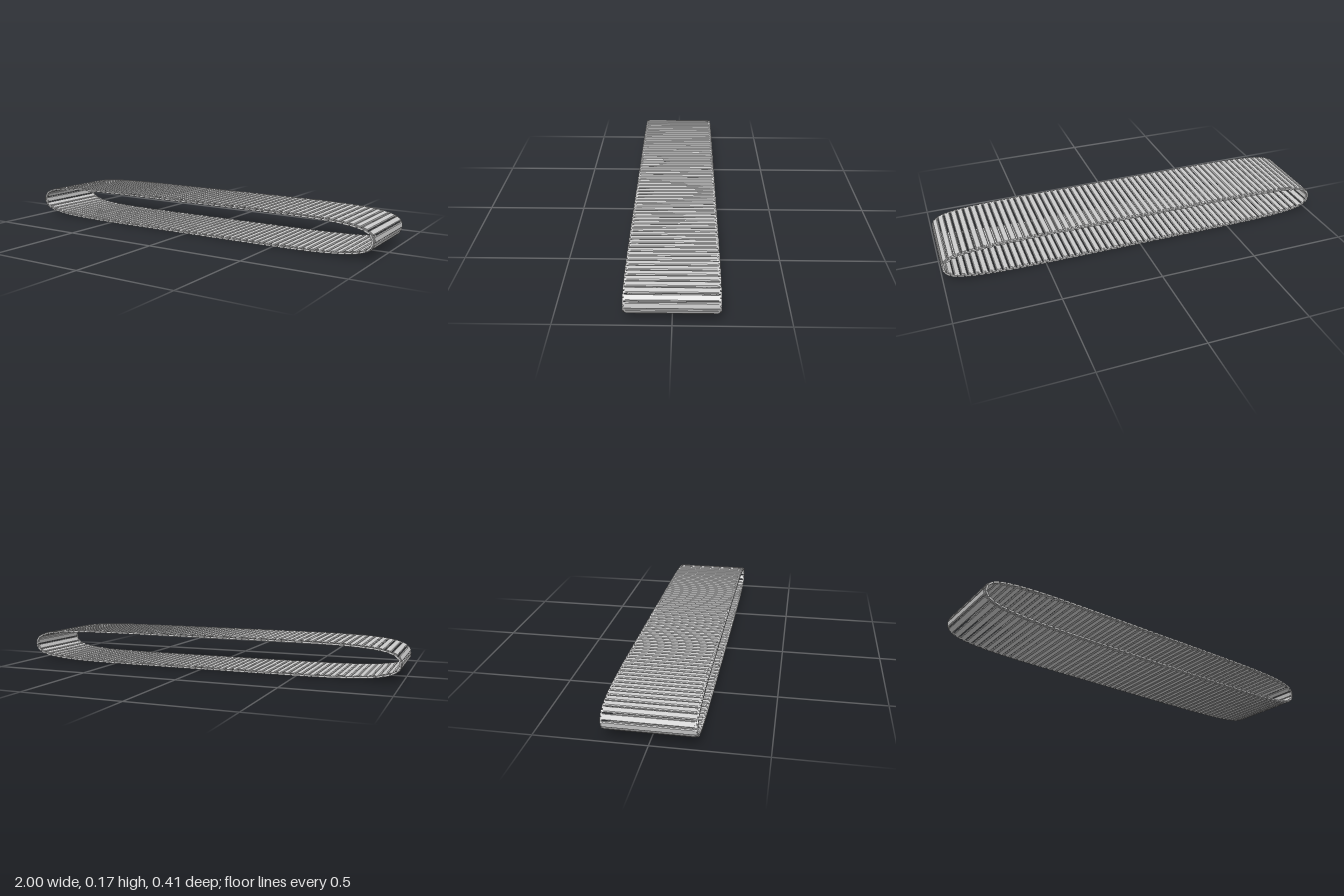
import * as THREE from 'three';
import { mergeGeometries } from 'three/addons/utils/BufferGeometryUtils.js';

const COUNT = 122;                 // slats in the loop
const A = 0.993, B = 0.081, CY = 0.0875; // half length, half height, centre height
const HALF_W = 0.19;

// Evenly spaced joints along a flattened, blunt-ended oval
function loopJoints() {
  const pts = [], dist = [0], n = 6000;
  const sp = (v, e) => Math.sign(v) * Math.abs(v) ** e;
  for (let i = 0; i <= n; i++) {
    const t = (i / n) * Math.PI * 2;
    pts.push(new THREE.Vector2(A * sp(Math.cos(t), 1 / 3), CY + B * sp(Math.sin(t), 2 / 3)));
    if (i) dist.push(dist[i - 1] + pts[i].distanceTo(pts[i - 1]));
  }
  const total = dist[n], joints = [];
  let k = 1;
  for (let i = 0; i < COUNT; i++) {
    const s = (i + 0.76) * total / COUNT;
    while (dist[k] < s) k++;
    const f = (s - dist[k - 1]) / (dist[k] - dist[k - 1]);
    joints.push(pts[k - 1].clone().lerp(pts[k], f));
  }
  return { joints, pitch: total / COUNT };
}

// Bar with chamfered outer and inner edges, running along z
function slatGeometry(w, t, depth) {
  const c = 0.0035, x = w / 2, y = t / 2;
  const s = new THREE.Shape([
    [-x + c, -y], [x - c, -y], [x, -y + c], [x, y - c],
    [x - c, y], [-x + c, y], [-x, y - c], [-x, -y + c],
  ].map(p => new THREE.Vector2(...p)));
  return new THREE.ExtrudeGeometry(s, { depth, bevelEnabled: false }).translate(0, 0, -depth / 2);
}

// Rounded chain side plate
function plateGeometry(len, h, depth) {
  const r = h / 2, x = len / 2 - r, s = new THREE.Shape();
  s.absarc(x, 0, r, -Math.PI / 2, Math.PI / 2, false);
  s.absarc(-x, 0, r, Math.PI / 2, Math.PI * 1.5, false);
  return new THREE.ExtrudeGeometry(s, { depth, bevelEnabled: false, curveSegments: 4 })
    .translate(0, 0, -depth / 2);
}

export function createModel() {
  const group = new THREE.Group();
  group.name = 'trackBelt';
  const mat = new THREE.MeshStandardMaterial({ color: 0xcccccc, flatShading: true });
  const { joints, pitch } = loopJoints();
  const at = i => joints[(i + COUNT) % COUNT];

  const slat = slatGeometry(pitch * 0.86, 0.012, HALF_W * 2);
  const inner = plateGeometry(pitch * 0.88, 0.009, 0.007);
  const outer = plateGeometry(pitch * 0.9, 0.009, 0.006);
  const slats = [], innerLinks = [], outerLinks = [];

  const place = (geo, p, q, z) => geo.clone()
    .rotateZ(Math.atan2(q.y - p.y, q.x - p.x))
    .translate((p.x + q.x) / 2, (p.y + q.y) / 2, z);

  for (let i = 0; i < COUNT; i++) {
    const p = at(i), q = at(i + 1);
    slats.push(place(slat, p, q, 0));
    // Outer links bridge the joint between neighbouring slats
    const m0 = at(i - 1).clone().lerp(p, 0.5), m1 = p.clone().lerp(q, 0.5);
    for (const side of [-1, 1]) {
      innerLinks.push(place(inner, p, q, side * (HALF_W + 0.0035)));
      outerLinks.push(place(outer, m0, m1, side * (HALF_W + 0.01)));
    }
  }

  for (const [name, parts] of Object.entries({ slats, innerLinks, outerLinks })) {
    const mesh = new THREE.Mesh(mergeGeometries(parts), mat);
    mesh.name = name;
    group.add(mesh);
  }
  return group;
}
